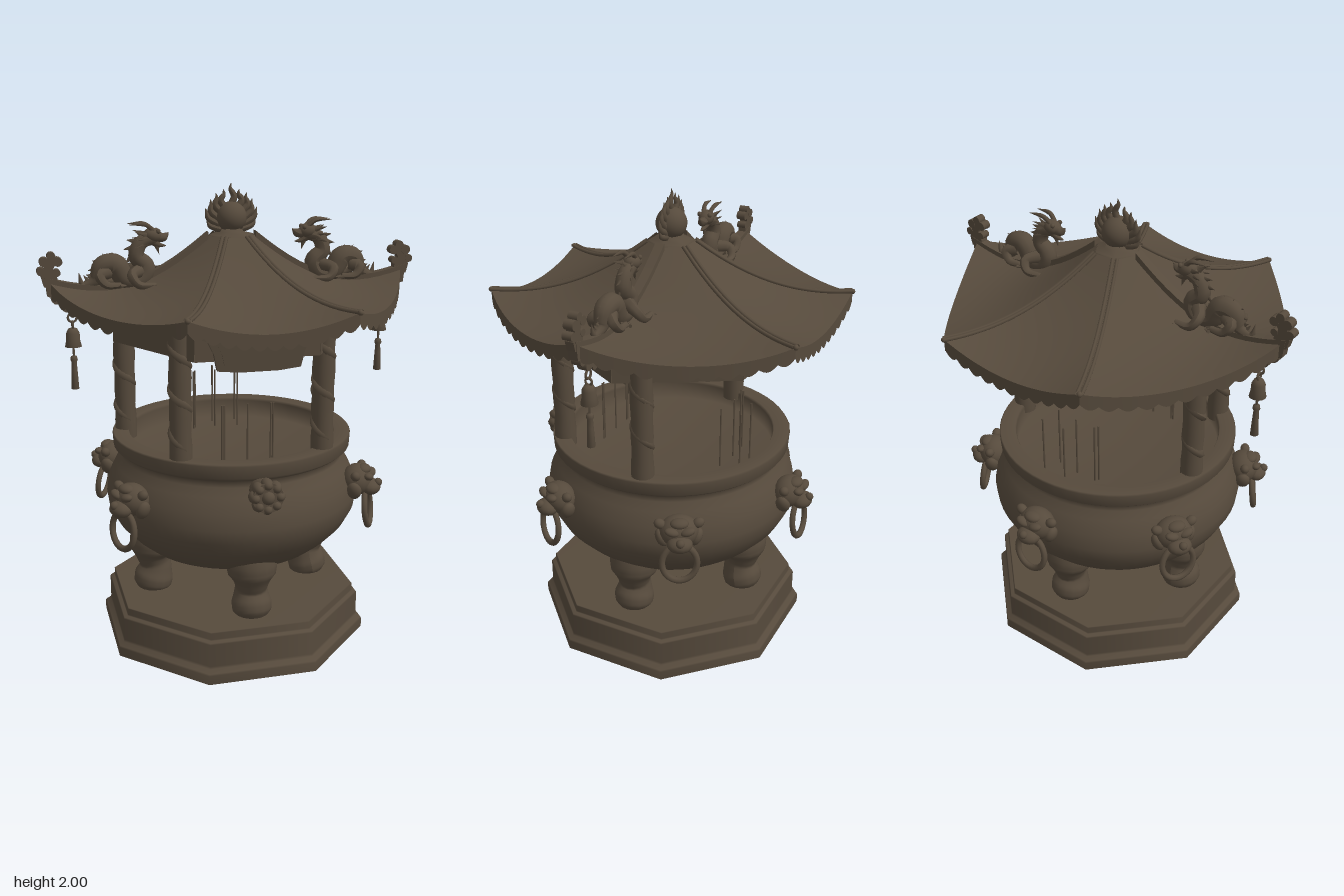
import * as THREE from 'three';

const bronze = new THREE.MeshStandardMaterial({ color: 0x564a3c, side: THREE.DoubleSide });
bronze.name = 'dark bronze';
const V = (x, y, z = 0) => new THREE.Vector3(x, y, z);
const lerp = THREE.MathUtils.lerp;

function add(parent, name, geo, pos = [0, 0, 0], rot = [0, 0, 0], scale = [1, 1, 1]) {
  const m = new THREE.Mesh(geo, bronze);
  m.name = name;
  m.position.set(...pos);
  m.rotation.set(...rot);
  m.scale.set(...scale);
  parent.add(m);
  return m;
}
function group(parent, name, pos = [0, 0, 0], ry = 0) {
  const g = new THREE.Group();
  g.name = name;
  g.position.set(...pos);
  g.rotation.y = ry;
  parent.add(g);
  return g;
}
const ball = (r, w = 14, h = 10) => new THREE.SphereGeometry(r, w, h);
const lathe = (pts, n, start = 0) =>
  new THREE.LatheGeometry(pts.map(p => new THREE.Vector2(...p)), n, start);
// Tube whose radius follows a list of values along its length
function taperTube(pts, radii, n = 32, sides = 10) {
  const curve = new THREE.CatmullRomCurve3(pts);
  const geo = new THREE.TubeGeometry(curve, n, 1, sides);
  const p = geo.attributes.position, v = V(0, 0);
  for (let i = 0; i <= n; i++) {
    const c = curve.getPointAt(i / n), f = (i / n) * (radii.length - 1);
    const k = Math.min(Math.floor(f), radii.length - 2), r = lerp(radii[k], radii[k + 1], f - k);
    for (let j = 0; j <= sides; j++) {
      const id = i * (sides + 1) + j;
      v.fromBufferAttribute(p, id).sub(c).multiplyScalar(r).add(c);
      p.setXYZ(id, v.x, v.y, v.z);
    }
  }
  geo.computeVertexNormals();
  return geo;
}
// Surface from a rule fn(u, v) -> Vector3
function grid(fn, nu, nv) {
  const geo = new THREE.PlaneGeometry(1, 1, nu, nv), p = geo.attributes.position;
  for (let j = 0; j <= nv; j++) for (let i = 0; i <= nu; i++) {
    const q = fn(i / nu, j / nv);
    p.setXYZ(j * (nu + 1) + i, q.x, q.y, q.z);
  }
  geo.computeVertexNormals();
  return geo;
}
function slab(points, depth) {
  const geo = new THREE.ExtrudeGeometry(new THREE.Shape(points.map(p => new THREE.Vector2(...p))),
    { depth, bevelEnabled: false });
  return geo.translate(0, 0, -depth / 2);
}

// Roof rule: corner k, fraction s along the eave, t from crown to eave
const crownY = 1.785;
const corners = [[0.77, 0, 1.62, 0.065], [0.33, 0.68, 1.57, 0.012], [-0.33, 0.68, 1.57, 0.012],
  [-0.77, 0, 1.62, 0.065], [-0.33, -0.68, 1.57, 0.012], [0.33, -0.68, 1.57, 0.012]];
function roofPoint(k, s, t, drop = 0) {
  const a = corners[k % 6], b = corners[(k + 1) % 6], hump = 4 * s * (1 - s);
  const bulge = k % 3 === 1 ? 1 : 1 + 0.06 * hump;
  const [ex, ez, ey, sag] = a.map((v, i) => lerp(v, b[i], s));
  const A = k * Math.PI / 3, B = A + Math.PI / 3;
  const ix = 0.1 * lerp(Math.cos(A), Math.cos(B), s), iz = 0.1 * lerp(Math.sin(A), Math.sin(B), s);
  const y = ey - 0.065 * hump * t * t;
  return V(lerp(ix, ex * bulge, t), y + (crownY - y) * (1 - t) ** 2.1 - sag * Math.sin(Math.PI * t) - drop,
    lerp(iz, ez * bulge, t));
}

function buildRoof(root) {
  const roof = group(root, 'roof');
  for (let k = 0; k < 6; k++) {
    add(roof, 'roofPanel', grid((u, v) => roofPoint(k, u, v), 16, 14));
    add(roof, 'roofUnderside', grid((u, v) => roofPoint(k, u, v, 0.035), 16, 14));
    add(roof, 'scallopedEave', grid((u, v) =>
      roofPoint(k, u, 1, v * (0.045 + 0.018 * Math.abs(Math.sin(u * Math.PI * 11)))), 110, 1));
    for (let i = 1; i < 11; i++) {
      const pts = [0.7, 0.85, 0.99].map(t => roofPoint(k, i / 11, t, 0.04));
      add(roof, 'rafter', new THREE.TubeGeometry(new THREE.CatmullRomCurve3(pts), 5, 0.007, 5));
    }
    // paired ridge rolls on the four diagonal corners
    if (k % 3) {
      const a = k * Math.PI / 3;
      for (const off of [-0.009, 0.009]) {
        const pts = [];
        for (let i = 0; i <= 10; i++)
          pts.push(roofPoint(k, 0, i / 10, -0.003).add(V(-Math.sin(a) * off, 0, Math.cos(a) * off)));
        add(roof, 'ridgeRoll', new THREE.TubeGeometry(new THREE.CatmullRomCurve3(pts), 24, 0.008, 6));
      }
      add(roof, 'ridgeEnd', ball(0.011), roofPoint(k, 0, 1).toArray());
    }
  }
  // crown collar, pearl and flat ring of flames
  add(roof, 'crownCollar', lathe([[0.1, 1.78], [0.095, 1.79], [0.055, 1.8], [0.05, 1.815], [0.001, 1.82]], 6, Math.PI / 6));
  add(roof, 'pearl', ball(0.065, 24, 16), [0, 1.86, 0]);
  // each flame: root x, root y, tip x, tip y
  for (const [x, y, tx, ty] of [[0, 1.91, 0, 2], [0.03, 1.9, 0.035, 1.975], [0.045, 1.88, 0.066, 1.96],
    [0.055, 1.855, 0.09, 1.935], [0.05, 1.83, 0.11, 1.9], [0.04, 1.81, 0.105, 1.85]])
    for (const m of x ? [-1, 1] : [1]) {
      const bend = V(lerp(x, tx, 0.6) + 0.012, lerp(y, ty, 0.4));
      add(roof, 'flame', taperTube([V(x * m, y), V(bend.x * m, bend.y), V((tx - 0.004) * m, lerp(y, ty, 0.75)), V(tx * m, ty)],
        [0.016, 0.015, 0.011, 0.001], 14, 8), [0, 0, 0], [0, 0, 0], [1, 1, 0.8]);
    }
}

// Long ridge blade, curled corner finial, dragon and bell, built toward +x
function buildSide(root, ry) {
  const side = group(root, ry ? 'rightRidge' : 'leftRidge', [0, 0, 0], ry);
  const top = [], low = [];
  for (let i = 0; i <= 14; i++) {
    const p = roofPoint(0, 0, i / 14);
    top.push([p.x * 1.02, p.y + 0.018]);
    low.unshift([p.x * 1.01, p.y - 0.06]);
  }
  add(side, 'ridgeBlade', slab([...top, ...low], 0.04));

  // flat corner finial with rounded curls
  add(side, 'finialPlate', slab([[0.73, 1.58], [0.79, 1.6], [0.8, 1.64], [0.785, 1.66], [0.79, 1.71],
    [0.755, 1.72], [0.735, 1.7], [0.75, 1.67], [0.735, 1.64]], 0.036));
  for (const [x, y, r] of [[0.73, 1.7, 0.019], [0.755, 1.722, 0.018], [0.785, 1.7, 0.02], [0.8, 1.662, 0.017],
    [0.735, 1.655, 0.015], [0.74, 1.55, 0.024], [0.7, 1.515, 0.024], [0.66, 1.5, 0.02]])
    add(side, 'finialCurl', new THREE.CylinderGeometry(r, r, 0.04, 14), [x, y, 0], [Math.PI / 2, 0, 0]);

  // dragon
  const d = group(side, 'dragon');
  const path = [V(0.33, 1.785), V(0.385, 1.765), V(0.405, 1.71), V(0.365, 1.665), V(0.39, 1.615),
    V(0.455, 1.62), V(0.495, 1.68), V(0.55, 1.675), V(0.58, 1.615), V(0.63, 1.6), V(0.645, 1.65)];
  add(d, 'dragonBody', taperTube(path, [0.026, 0.03, 0.034, 0.038, 0.04, 0.042, 0.045, 0.04, 0.03, 0.015, 0.001], 64, 12));
  const spine = new THREE.CatmullRomCurve3(path);
  for (let i = 2; i < 24; i++) {
    const u = i / 25, p = spine.getPointAt(u), t = spine.getTangentAt(u), n = V(-t.y, t.x);
    const r = 0.044 - 0.018 * u;
    add(d, 'backSpike', new THREE.ConeGeometry(0.012, 0.035, 5), [p.x + n.x * r, p.y + n.y * r, 0],
      [0, 0, Math.atan2(n.y, n.x) - Math.PI / 2 - 0.4], [1, 1, 0.5]);
  }
  add(d, 'dragonSkull', ball(0.036), [0.335, 1.795, 0], [0, 0, 0.2], [1.1, 0.85, 0.95]);
  add(d, 'dragonSnout', taperTube([V(0.335, 1.795), V(0.295, 1.785), V(0.272, 1.8), V(0.268, 1.805)],
    [0.03, 0.022, 0.018, 0.001], 14));
  add(d, 'dragonJaw', taperTube([V(0.345, 1.78), V(0.31, 1.755), V(0.28, 1.75)], [0.024, 0.014, 0.002], 12));
  add(d, 'dragonBeard', new THREE.ConeGeometry(0.012, 0.045, 6), [0.315, 1.735, 0], [Math.PI, 0, 0.3]);
  for (const z of [-1, 1]) {
    add(d, 'dragonHorn', taperTube([V(0.335, 1.815, 0.014 * z), V(0.365, 1.84, 0.022 * z), V(0.435, 1.842, 0.026 * z)],
      [0.011, 0.009, 0.001], 12, 6));
    add(d, 'dragonEye', ball(0.01, 8, 6), [0.315, 1.812, 0.024 * z]);
    for (let i = 0; i < 3; i++)
      add(d, 'dragonMane', new THREE.ConeGeometry(0.014, 0.065, 5), [0.385, 1.805 - i * 0.024, 0.026 * z],
        [0, -0.4 * z, -1.3 - i * 0.25], [1, 1, 0.6]);
    for (const [x, y, dx, w] of [[0.4, 1.65, -0.06, 1], [0.53, 1.65, -0.05, 0.6]]) {
      add(d, 'dragonLeg', taperTube([V(x, y, 0.015 * z), V(x + 0.035, y - 0.01, 0.07 * z * w),
        V(x + 0.01, y - 0.045, 0.09 * z * w), V(x + dx, y - 0.05, 0.085 * z * w)], [0.03, 0.022, 0.016, 0.012], 16, 8));
      for (let c = -1; c <= 1; c++)
        add(d, 'dragonClaw', new THREE.ConeGeometry(0.008, 0.035, 5),
          [x + dx - 0.012, y - 0.052, (0.085 * w + c * 0.014) * z], [0, -c * z * 0.4, Math.PI / 2]);
    }
  }

  // hanging bell with tassel
  const bell = group(side, 'bell', [0.68, 0, 0]);
  add(bell, 'bellLink', new THREE.TorusGeometry(0.018, 0.005, 6, 16), [0, 1.465, 0]);
  add(bell, 'bellLink', new THREE.TorusGeometry(0.014, 0.005, 6, 16), [0, 1.435, 0], [0, Math.PI / 2, 0]);
  add(bell, 'bellCup', lathe([[0.001, 1.35], [0.028, 1.345], [0.035, 1.343], [0.029, 1.37], [0.028, 1.4],
    [0.019, 1.418], [0.001, 1.425]], 18));
  add(bell, 'clapperCord', new THREE.CylinderGeometry(0.005, 0.005, 0.06, 6), [0, 1.325, 0]);
  add(bell, 'tassel', lathe([[0.001, 1.16], [0.017, 1.16], [0.013, 1.24], [0.011, 1.275], [0.016, 1.285],
    [0.013, 1.3], [0.001, 1.305]], 10));
}

// Animal mask holding a ring, facing local +z
function buildMask(root, angle) {
  const g = group(root, 'ringMask', [Math.sin(angle) * 0.57, 0.75, Math.cos(angle) * 0.57], angle);
  add(g, 'maskHead', ball(0.078, 18, 12), [0, 0, 0], [0, 0, 0], [1.05, 0.88, 0.85]);
  add(g, 'maskSnout', ball(0.044), [0, -0.028, 0.06], [0, 0, 0], [1.2, 0.8, 1]);
  add(g, 'maskNose', ball(0.018), [0, -0.005, 0.092]);
  for (const x of [-1, 1]) {
    add(g, 'maskBrow', ball(0.024), [0.032 * x, 0.026, 0.054], [0, 0, 0.3 * x], [1.3, 0.7, 0.9]);
    add(g, 'maskEar', ball(0.026), [0.078 * x, 0.038, 0.005], [0, 0, 0.5 * x], [1, 0.8, 0.8]);
    add(g, 'maskMane', ball(0.032), [0.07 * x, -0.03, 0], [0, 0, -0.4 * x], [0.8, 1.3, 1]);
  }
  add(g, 'maskForelock', ball(0.03), [0, 0.05, 0.028], [0, 0, 0], [1.3, 0.7, 1]);
  add(g, 'handleRing', new THREE.TorusGeometry(0.072, 0.013, 8, 28), [0, -0.125, 0.05], [-0.12, 0, 0], [1, 1.1, 1]);
}

export function createModel() {
  const root = new THREE.Group();
  root.name = 'incenseBurner';

  // octagonal pedestal, open underneath
  const k = 1 / Math.cos(Math.PI / 8);
  const ped = [[0.56, 0], [0.56, 0.04], [0.556, 0.047], [0.538, 0.06], [0.535, 0.07], [0.535, 0.17], [0.532, 0.176],
    [0.518, 0.18], [0.515, 0.184], [0.515, 0.212], [0.512, 0.215], [0, 0.215]];
  add(root, 'pedestal', lathe(ped.map(([r, y]) => [r * k, y]), 8, Math.PI / 8));

  // four stout legs
  for (let i = 0; i < 4; i++)
    add(group(root, 'leg', [0, 0, 0], i * Math.PI / 2), 'legShaft',
      taperTube([V(0.35, 0.5), V(0.36, 0.43), V(0.363, 0.37), V(0.355, 0.31), V(0.365, 0.25), V(0.375, 0.195)],
        [0.1, 0.108, 0.11, 0.104, 0.078, 0.068, 0.076, 0.088, 0.086, 0.06], 30, 16));

  // round basin with collar, inner wall and ash bed
  add(root, 'basin', lathe([[0.001, 0.425], [0.39, 0.43], [0.4, 0.434], [0.455, 0.478], [0.513, 0.54], [0.55, 0.61],
    [0.558, 0.67], [0.545, 0.74], [0.515, 0.8], [0.49, 0.835], [0.487, 0.86], [0.505, 0.87], [0.522, 0.885],
    [0.525, 0.935], [0.52, 0.942], [0.455, 0.942], [0.45, 0.93], [0.45, 0.85], [0.001, 0.85]], 56));

  for (let i = 1; i < 6; i++) buildMask(root, i * Math.PI / 3);

  // flower boss on the front
  const flower = group(root, 'flowerBoss', [0, 0.83, 0.5]);
  add(flower, 'bossCore', new THREE.CylinderGeometry(0.064, 0.05, 0.11, 20), [0, 0, 0.055], [Math.PI / 2, 0, 0]);
  for (let i = 0; i < 8; i++) {
    const a = i * Math.PI / 4;
    add(flower, 'petal', ball(0.024), [Math.cos(a) * 0.051, Math.sin(a) * 0.051, 0.085], [0, 0, 0], [1, 1, 1.6]);
  }
  add(flower, 'bossCentre', ball(0.028), [0, 0, 0.105]);

  // incense sticks
  for (const [x, z] of [[-0.11, 0.285], [-0.1, 0.285], [0, 0.285], [0.1, 0.285], [0.11, 0.285],
    [-0.1, -0.3], [-0.11, -0.285], [0, -0.38], [-0.005, -0.3], [0.1, -0.285], [0.11, -0.38]])
    add(root, 'incenseStick', new THREE.CylinderGeometry(0.004, 0.004, 0.28, 6), [x, 0.985, z]);

  // four carved posts with a coiled relief
  for (const [x, z] of [[0.3, 0.365], [-0.3, 0.365], [0.455, -0.1], [-0.455, -0.1]]) {
    const post = group(root, 'post', [x, 0, z]), coil = [];
    add(post, 'postShaft', lathe([[0.047, 0.9], [0.048, 0.98], [0.043, 1.05], [0.047, 1.12], [0.044, 1.2],
      [0.048, 1.28], [0.043, 1.36], [0.047, 1.43], [0.045, 1.49]], 16));
    for (let i = 0; i <= 30; i++)
      coil.push(V(Math.cos(i * 0.6) * 0.033, 0.95 + i * 0.0175, Math.sin(i * 0.6) * 0.033));
    add(post, 'postRelief', taperTube(coil, [0.012, 0.02, 0.016, 0.02, 0.016, 0.02, 0.012], 90, 6));
  }

  // six-sided lintel ring
  for (let i = 0; i < 6; i++) {
    const a = i * Math.PI / 3;
    add(root, 'lintel', new THREE.BoxGeometry(0.51, 0.12, 0.03), [Math.sin(a) * 0.43, 1.415, Math.cos(a) * 0.43], [0, a, 0]);
  }

  // blank sign plate under the front eave
  const plate = [[-0.17, -0.08], [-0.08, -0.09], [0.08, -0.09], [0.17, -0.08], [0.185, -0.01], [0.21, 0.04],
    [0.235, 0.05], [0.23, 0.075], [-0.23, 0.075], [-0.235, 0.05], [-0.21, 0.04], [-0.185, -0.01]];
  add(root, 'signPlate', slab(plate, 0.025), [0, 1.4, 0.458], [0.08, 0, 0]);
  add(root, 'signPanel', slab(plate.map(([x, y]) => [x * 0.84, y * 0.75]), 0.008), [0, 1.4, 0.473], [0.08, 0, 0]);

  buildRoof(root);
  buildSide(root, 0);
  buildSide(root, Math.PI);
  return root;
}
